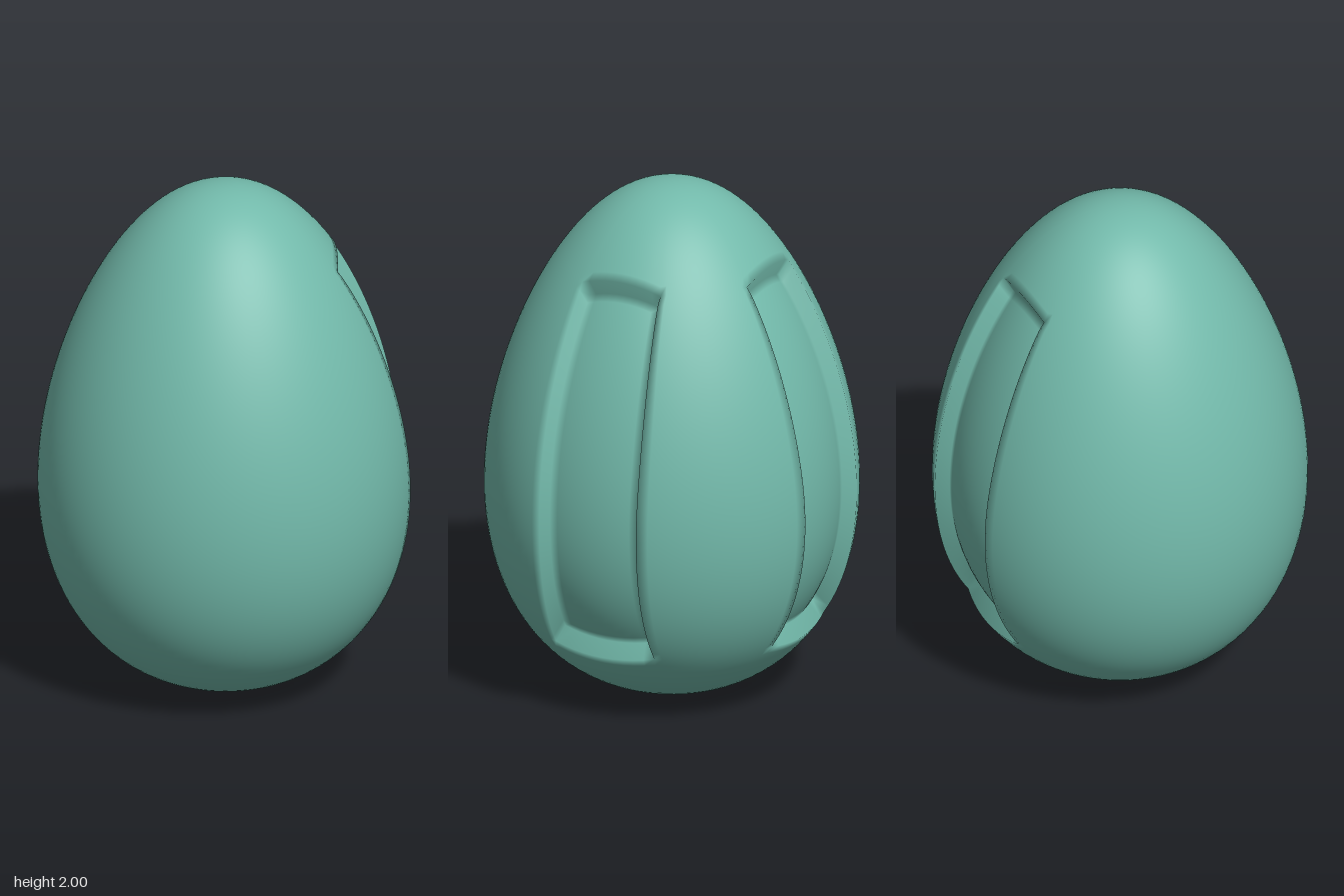
import * as THREE from 'three';
import { mergeVertices } from 'three/addons/utils/BufferGeometryUtils.js';

const { lerp, clamp } = THREE.MathUtils;
const TOP = 0.7525, BOTTOM = 2.3746;   // polar angles of the recess ends
const FLOOR = 0.92;                    // recess floor, as a scale of the shell
const CENTRES = [0, Math.PI / 2];      // recesses on the left side and the back

// Egg profile: polar angle -> height and radius
const height = (phi) => 1 + Math.cos(phi);
function radius(phi) {
  const t = Math.cos(phi);
  return 0.69 * Math.pow(Math.max(0, 1 - t * t), 0.47) * (1 - 0.19 * t);
}

// Half the angular width of a recess; it narrows towards the top
function halfAngle(phi) {
  const p = clamp(phi, TOP, BOTTOM);
  const s = clamp((height(p) - 1) / 0.7, 0, 1);
  return Math.asin((0.21 - 0.045 * s * s) / (radius(p) + 0.02));
}

// Bow of the recess ends, fading out towards the poles
function bow(phi) {
  if (phi < TOP) return 0.044 * phi / TOP;
  if (phi > BOTTOM) return -0.03 * (Math.PI - phi) / (Math.PI - BOTTOM);
  return lerp(0.044, -0.03, (phi - TOP) / (BOTTOM - TOP));
}

// Rows and columns are doubled at the recess borders so the walls are sharp steps
function makeRows() {
  const rows = [];
  for (const [from, to, n, inside] of [
    [0, TOP, 18, false], [TOP, BOTTOM, 40, true], [BOTTOM, Math.PI, 18, false],
  ]) for (let i = 0; i <= n; i++) rows.push({ phi: lerp(from, to, i / n), inside });
  return rows;
}

function makeColumns() {
  const [c0, c1] = CENTRES;
  const columns = [];
  // each span: start centre and side, end centre and side, cells, inside a recess
  for (const [ca, sa, cb, sb, n, inside] of [
    [c0, -1, c0, 1, 10, true], [c0, 1, c1, -1, 16, false],
    [c1, -1, c1, 1, 10, true], [c1, 1, c0 + 2 * Math.PI, -1, 72, false],
  ]) for (let j = 0; j <= n; j++) {
    columns.push({ inside, angle: (a) => lerp(ca + sa * a, cb + sb * a, j / n) });
  }
  return columns;
}

function eggGeometry() {
  const rows = makeRows(), columns = makeColumns();
  const positions = [], index = [], n = columns.length;
  rows.forEach((row, i) => columns.forEach((column, j) => {
    const a = halfAngle(row.phi);
    const theta = column.angle(a);
    const d = Math.min(...CENTRES.map((c) =>
      Math.abs(Math.atan2(Math.sin(theta - c), Math.cos(theta - c))))) / a;
    const phi = row.phi + bow(row.phi) * (d < 1 ? d * d : Math.max(0, 2 - d));
    const s = row.inside && column.inside ? FLOOR : 1;
    const r = radius(phi) * s;
    positions.push(r * Math.cos(theta), 0.95 + (height(phi) - 0.95) * s, -r * Math.sin(theta));
    if (i === rows.length - 1) return;
    const k = (j + 1) % n, p = i * n, q = p + n;
    index.push(p + j, q + j, p + k, q + j, q + k, p + k);
  }));
  let geometry = new THREE.BufferGeometry();
  geometry.setAttribute('position', new THREE.Float32BufferAttribute(positions, 3));
  geometry.setIndex(index);
  geometry = mergeVertices(geometry, 1e-4);

  // Drop the collapsed triangles left where doubled rows and columns coincide
  const all = geometry.index.array, kept = [];
  for (let t = 0; t < all.length; t += 3) {
    const [a, b, c] = [all[t], all[t + 1], all[t + 2]];
    if (a !== b && b !== c && c !== a) kept.push(a, b, c);
  }
  geometry.setIndex(kept);
  geometry.computeVertexNormals();
  return geometry;
}

export function createModel() {
  const group = new THREE.Group();
  group.name = 'recessedEgg';
  const shell = new THREE.Mesh(eggGeometry(), new THREE.MeshStandardMaterial({ color: 0x72b9aa }));
  shell.name = 'eggShell';
  shell.position.set(0.015, 0, -0.015);
  group.add(shell);
  return group;
}
